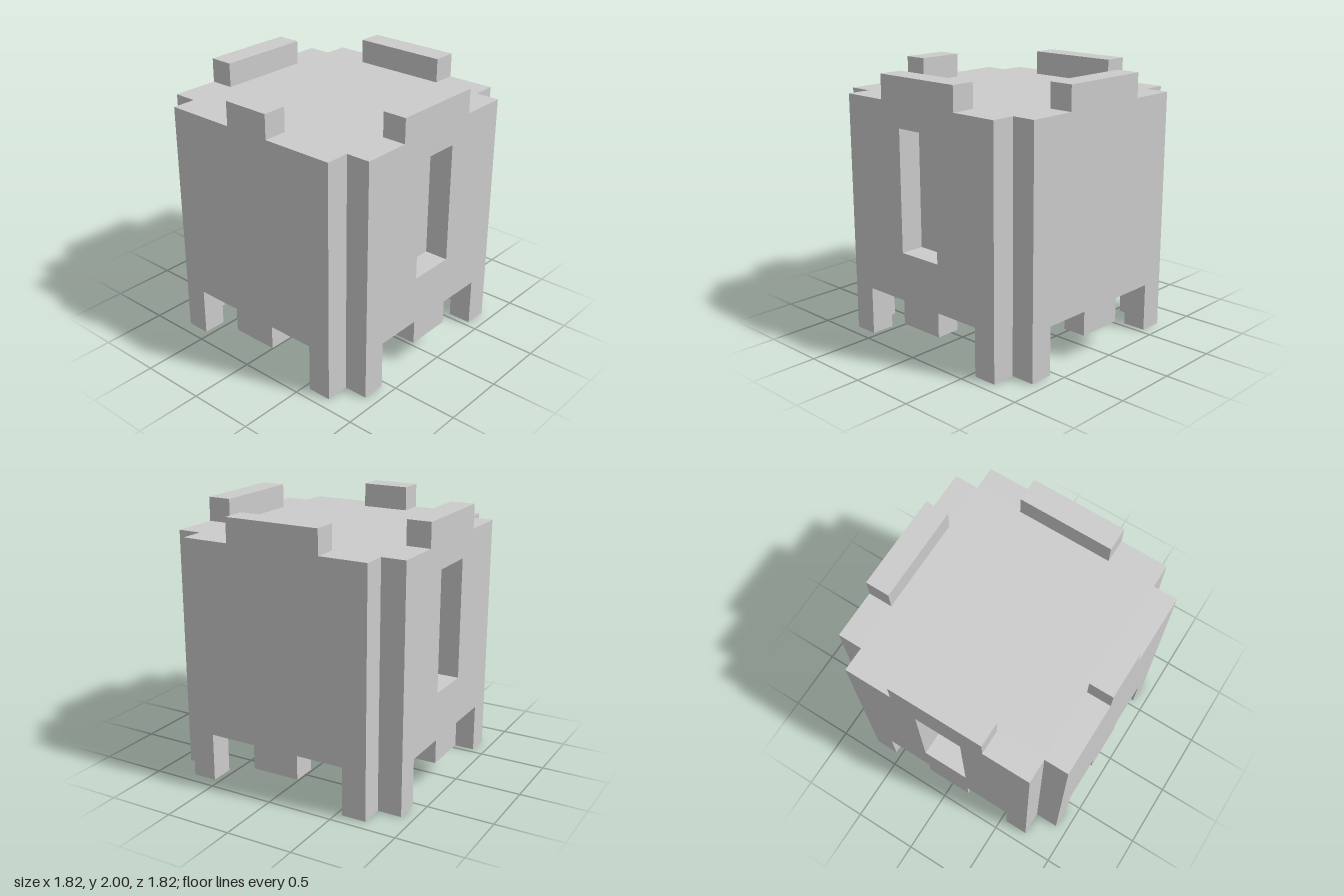
import * as THREE from 'three';

const U = 2 / 11; // the whole model sits on a grid of this unit

// Panel outline in grid units, with two legs, a centre tooth and a top tab
function panelShape(tabHalf, hasWindow) {
  const half = [[0, 1], [1, 1], [1, 2], [3, 2], [3, 0], [4, 0], [4, 10], [tabHalf, 10], [tabHalf, 11]];
  const mirrored = half.slice(1).reverse().map(([x, y]) => [-x, y]);
  const toVec = ([x, y]) => new THREE.Vector2(x * U, y * U);
  const shape = new THREE.Shape([...half.slice(1), ...mirrored].map(toVec));
  if (hasWindow) {
    shape.holes.push(new THREE.Path([[-1, 4], [-1, 9], [1, 9], [1, 4]].map(toVec)));
  }
  return shape;
}

export function createModel() {
  const model = new THREE.Group();
  const material = new THREE.MeshStandardMaterial({ color: 0xcccccc, flatShading: true });

  // Solid core, its underside recessed behind the panels
  const core = new THREE.Mesh(new THREE.BoxGeometry(8 * U, 7 * U, 8 * U), material);
  core.name = 'core';
  core.position.y = 6.5 * U;
  model.add(core);

  // One panel per side; the two side panels have a window down to the core
  const panels = [
    ['frontPanel', 0, 1, false],
    ['leftPanel', Math.PI / 2, 2, true],
    ['backPanel', Math.PI, 2, false],
    ['rightPanel', -Math.PI / 2, 2, true],
  ];
  for (const [name, angle, tabHalf, hasWindow] of panels) {
    const geometry = new THREE.ExtrudeGeometry(panelShape(tabHalf, hasWindow), { depth: U, bevelEnabled: false });
    geometry.translate(0, 0, 4 * U);
    const panel = new THREE.Mesh(geometry, material);
    panel.name = name;
    panel.rotation.y = angle;
    model.add(panel);
  }
  return model;
}
